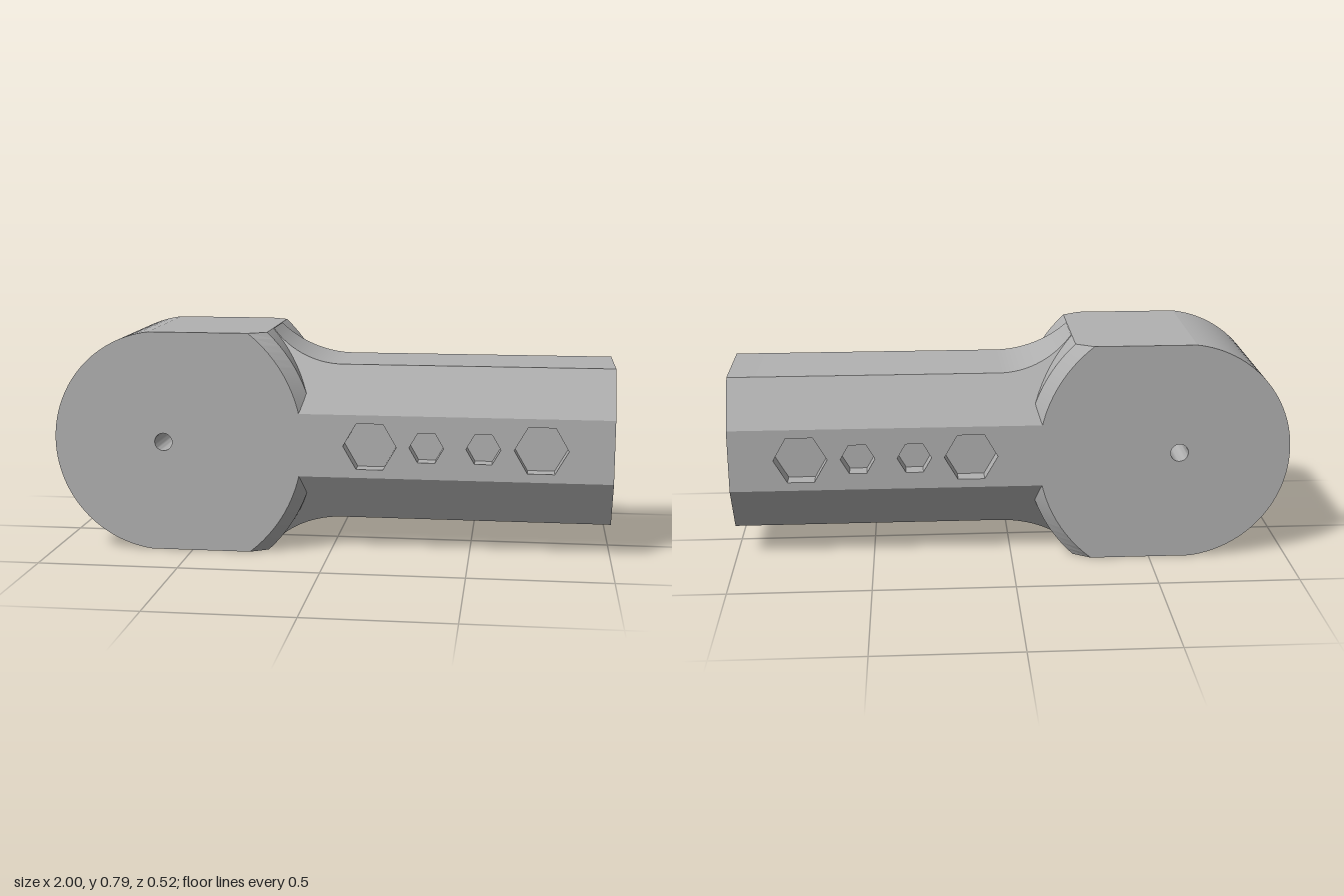
import * as THREE from 'three';
import { toCreasedNormals } from 'three/addons/utils/BufferGeometryUtils.js';

const H = 0.397;        // half height of the head
const D = 0.26;         // half depth of the whole body
const HEAD_X = -0.6;    // head centre
const SIDE = 0.113;     // half height of the flat handle side
const HOLE_R = 0.032;
const POCKET_DEPTH = 0.06;

// Skins a list of closed rings; edges listed in skip are left open.
function loft(rings, crease, skip = []) {
  const pos = [];
  const n = rings[0].length;
  for (let i = 0; i < rings.length - 1; i++) {
    for (let j = 0; j < n; j++) {
      if (skip.includes(j)) continue;
      const k = (j + 1) % n;
      const [a, b, c, d] = [rings[i][j], rings[i][k], rings[i + 1][k], rings[i + 1][j]];
      for (const p of [a, b, c, a, c, d]) pos.push(p.x, p.y, p.z);
    }
  }
  const g = new THREE.BufferGeometry();
  g.setAttribute('position', new THREE.Float32BufferAttribute(pos, 3));
  return toCreasedNormals(g, crease);
}

const atZ = (pts, z) => pts.map(p => new THREE.Vector3(p.x, p.y, z));

// Counter-clockwise arc points
function arc(cx, r, from, to, n) {
  return Array.from({ length: n + 1 }, (_, i) => {
    const t = from + (to - from) * i / n;
    return new THREE.Vector2(cx + r * Math.cos(t), r * Math.sin(t));
  });
}
const polygon = (cx, r, n) => arc(cx, r, 0, Math.PI * 2, n).slice(0, n);

// Head outline: round back, flat top and bottom, wide arc of radius r toward the handle
function headOutline(r) {
  const a = Math.asin(H / r), b = Math.asin(H / 0.4);
  return [...arc(HEAD_X, r, -a, a, 28), ...arc(HEAD_X, 0.4, Math.PI - b, Math.PI + b, 56)];
}

// Handle cross-section at x, flaring up to the head along a fillet
function handleRing(x) {
  const R = 0.351, dx = Math.max(0, 0.04 - x);
  const h = 0.28 + R - Math.sqrt(R * R - dx * dx);
  const w = D - (h - SIDE) / 1.7;
  return [[-D, SIDE], [-w, h], [w, h], [D, SIDE], [D, -SIDE], [w, -h], [-w, -h], [-D, -SIDE]]
    .map(([z, y]) => new THREE.Vector3(x, y, z));
}

export function createModel() {
  const model = new THREE.Group();
  const body = new THREE.Group();
  body.name = 'body';
  body.position.y = H;
  model.add(body);

  const grey = new THREE.MeshStandardMaterial({ color: 0xb2b2b2 });
  grey.name = 'grey';
  const add = (parent, geometry, name) => {
    const m = new THREE.Mesh(geometry, grey);
    m.name = name;
    parent.add(m);
    return m;
  };

  // Head rim with bevelled shoulders
  const face = headOutline(0.505), middle = headOutline(0.546);
  add(body, loft([atZ(face, -D), atZ(middle, -0.22), atZ(middle, 0.22), atZ(face, D)], 0.09), 'headRim');

  // Pivot hole through the head
  const hole = polygon(HEAD_X, HOLE_R, 28).reverse();
  add(body, loft([atZ(hole, -D), atZ(hole, D)], 0.5), 'pivotHole');

  // Flared handle, sides left open for the pocketed panels
  const rings = [];
  for (let i = 0; i <= 18; i++) rings.push(handleRing(-0.222 + 0.262 * i / 18));
  rings.push(handleRing(1));
  add(body, loft(rings, 0.09, [3, 7]), 'handle');

  // Flat end of the handle
  const endShape = new THREE.Shape(handleRing(1).map(p => new THREE.Vector2(-p.z, p.y)));
  add(body, new THREE.ShapeGeometry(endShape).rotateY(Math.PI / 2).translate(1, 0, 0), 'handleEnd');

  // Front and back: head face and side panel with four hexagonal pockets
  const pockets = [[0.145, 0.095], [0.346, 0.061], [0.546, 0.061], [0.748, 0.095]];
  for (const [side, turn] of [['front', 0], ['back', Math.PI]]) {
    const half = new THREE.Group();
    half.name = side + 'Side';
    half.rotation.x = turn;
    body.add(half);

    const headShape = new THREE.Shape(face);
    headShape.holes.push(new THREE.Path(hole));
    add(half, new THREE.ShapeGeometry(headShape).translate(0, 0, D), side + 'HeadFace');

    const panel = new THREE.Shape([[-0.108, -SIDE], [1, -SIDE], [1, SIDE], [-0.108, SIDE]]
      .map(p => new THREE.Vector2(...p)));
    for (const [x, r] of pockets) {
      const hex = polygon(x, r, 6), cw = polygon(x, r, 6).reverse();
      panel.holes.push(new THREE.Path(cw));
      add(half, loft([atZ(cw, D - POCKET_DEPTH), atZ(cw, D)], 0.1), side + 'PocketWalls');
      add(half, new THREE.ShapeGeometry(new THREE.Shape(hex)).translate(0, 0, D - POCKET_DEPTH), side + 'PocketFloor');
    }
    add(half, new THREE.ShapeGeometry(panel).translate(0, 0, D), side + 'HandlePanel');
  }
  return model;
}
